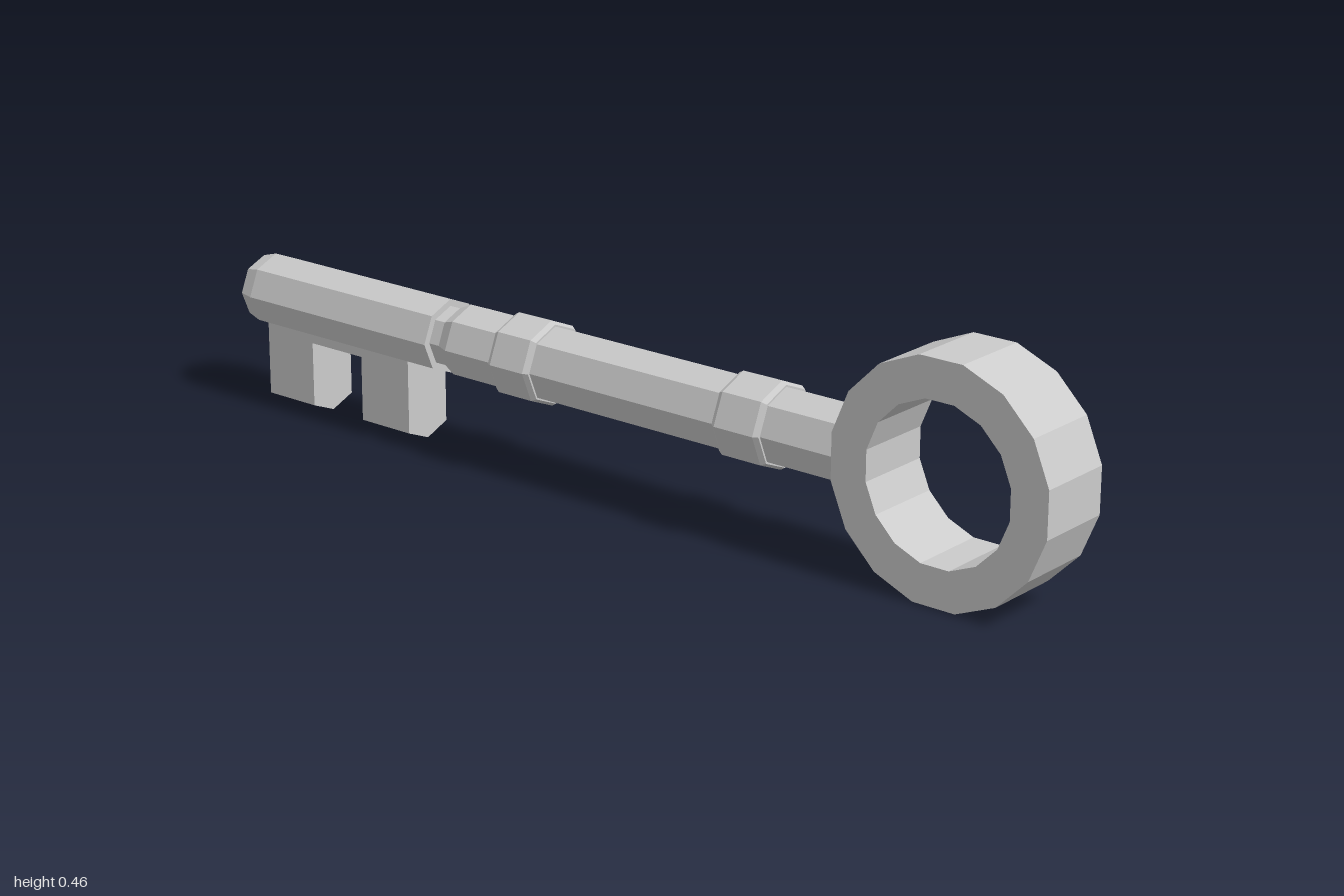
import * as THREE from 'three';

const material = new THREE.MeshStandardMaterial({ color: 0xcccccc, flatShading: true });
const AXIS_Y = 0.227; // height of the shaft's axis
const R = 0.076; // shaft radius

function addMesh(group, name, geometry) {
  const mesh = new THREE.Mesh(geometry, material);
  mesh.name = name;
  group.add(mesh);
  return mesh;
}

// Eight-sided turned part along x; profile is [x, radius] pairs
function addTurned(group, name, profile) {
  const points = profile.map(([x, r]) => new THREE.Vector2(r, x));
  const mesh = addMesh(group, name, new THREE.LatheGeometry(points, 8));
  mesh.rotation.z = -Math.PI / 2;
  mesh.position.y = AXIS_Y;
}

// Blade hanging from the shaft, with the shaft's shallow V along its bottom
function addBlade(group, name, x0, x1, bottom) {
  const w = R * Math.SQRT1_2;
  const v = R - w;
  const shape = new THREE.Shape([
    new THREE.Vector2(-w, AXIS_Y - w),
    new THREE.Vector2(-w, bottom + v),
    new THREE.Vector2(0, bottom),
    new THREE.Vector2(w, bottom + v),
    new THREE.Vector2(w, AXIS_Y - w),
  ]);
  const geometry = new THREE.ExtrudeGeometry(shape, { depth: x1 - x0, bevelEnabled: false });
  geometry.rotateY(Math.PI / 2);
  geometry.translate(x0, 0, 0);
  addMesh(group, name, geometry);
}

// Regular polygon with flats facing the axes
function polygon(radius, sides) {
  return Array.from({ length: sides }, (_, i) => {
    const a = ((i + 0.5) / sides) * Math.PI * 2;
    return new THREE.Vector2(Math.cos(a) * radius, Math.sin(a) * radius);
  });
}

export function createModel() {
  const key = new THREE.Group();
  key.name = 'key';

  // Shaft: rounded tip, groove behind the bit, plain run into the ring
  addTurned(key, 'shaft', [
    [-1, 0], [-1, 0.043], [-0.98, 0.066], [-0.945, R],
    [-0.455, R], [-0.455, 0.062], [-0.43, 0.062], [-0.4, R],
    [0.6, R], [0.6, 0],
  ]);

  // Raised collars with small bevels
  for (const [name, x0, x1] of [['frontCollar', -0.283, -0.18], ['rearCollar', 0.268, 0.377]]) {
    addTurned(key, name, [
      [x0, 0.07], [x0, 0.08], [x0 + 0.01, 0.086],
      [x1 - 0.01, 0.086], [x1, 0.08], [x1, 0.07],
    ]);
  }

  // Bit: two teeth joined by a shallow bridge
  addBlade(key, 'outerTooth', -0.917, -0.79, 0);
  addBlade(key, 'bridge', -0.79, -0.652, 0.133);
  addBlade(key, 'innerTooth', -0.652, -0.523, 0);

  // Ring handle
  const ring = new THREE.Shape(polygon(0.233, 16));
  ring.holes.push(new THREE.Path(polygon(0.155, 16).reverse()));
  const ringGeometry = new THREE.ExtrudeGeometry(ring, { depth: 0.163, bevelEnabled: false });
  ringGeometry.translate(0.771, 0.231, -0.08);
  addMesh(key, 'ringHandle', ringGeometry);

  return key;
}
